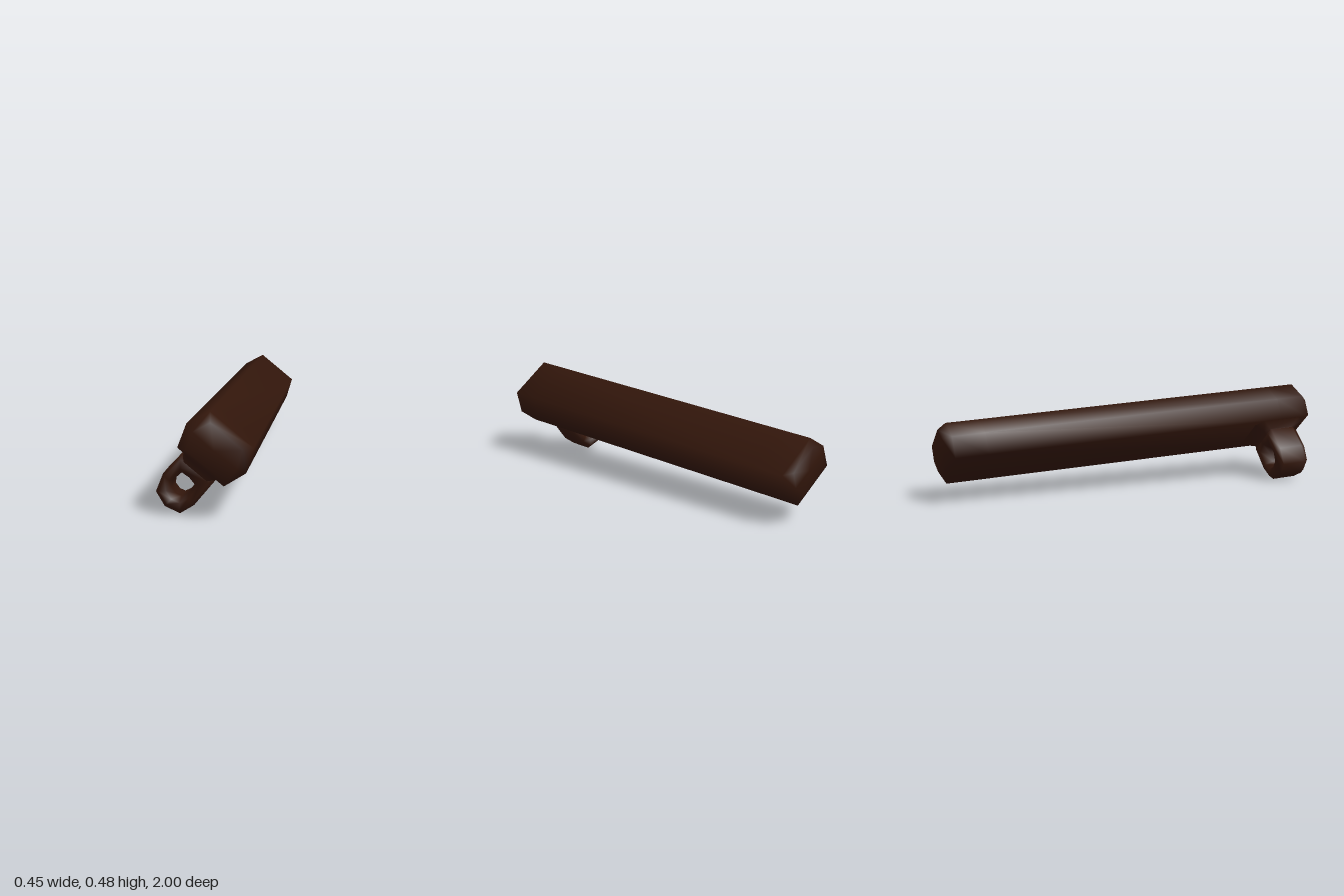
import * as THREE from 'three';

// Skin a list of rows of points; each row is a closed loop
function loft(rows, closeRows = false) {
  const n = rows[0].length;
  const index = [];
  const last = closeRows ? rows.length : rows.length - 1;
  for (let r = 0; r < last; r++) {
    const r2 = (r + 1) % rows.length;
    for (let c = 0; c < n; c++) {
      const c2 = (c + 1) % n;
      const a = r * n + c, b = r * n + c2, d = r2 * n + c2, e = r2 * n + c;
      index.push(a, b, d, a, d, e);
    }
  }
  const g = new THREE.BufferGeometry();
  g.setAttribute('position', new THREE.Float32BufferAttribute(rows.flat(2), 3));
  g.setIndex(index);
  g.computeVertexNormals();
  return g;
}

export function createModel() {
  const material = new THREE.MeshStandardMaterial({ color: 0x32160b });
  const model = new THREE.Group();
  model.name = 'barWithLoop';

  // Tilted frame: local x across the bar, y away from the loop, z along the bar
  const tilted = new THREE.Group();
  tilted.name = 'tiltedBar';
  const axis = new THREE.Vector3(-0.024, 0.09, 1.94).normalize();
  const up = axis.clone().cross(new THREE.Vector3(0.78, -0.63, 0)).normalize();
  const across = up.clone().cross(axis);
  tilted.quaternion.setFromRotationMatrix(new THREE.Matrix4().makeBasis(across, up, axis));
  tilted.position.set(0.057, 0.27, 0);
  model.add(tilted);

  const add = (name, geometry) => {
    const mesh = new THREE.Mesh(geometry, material);
    mesh.name = name;
    tilted.add(mesh);
    return mesh;
  };

  // Bar: six-sided section, slightly tapered to the rear, with chamfered ends
  const section = [
    [0.162, 0.005], [0.118, 0.111], [-0.118, 0.111],
    [-0.162, 0.005], [-0.127, -0.1], [0.127, -0.1],
  ];
  // scale, position along the bar, shift of the section towards the top
  const stations = [
    [0, -0.997, 0.02], [0.65, -0.997, 0.02], [0.94, -0.962, 0], [0.944, -0.8, 0],
    [0.996, 0.8, 0], [1, 0.955, 0], [0.74, 0.993, 0], [0, 0.993, 0],
  ];
  add('bar', loft(stations.map(([k, z, dy]) => section.map(([x, y]) => [x * k, y * k + dy, z]))));

  // Loop: bevelled band between an outer and an inner outline
  const outer = [
    [-0.104, -0.255], [-0.078, -0.337], [-0.008, -0.363], [0.0625, -0.344],
    [0.086, -0.275], [0.087, -0.13], [-0.008, -0.105], [-0.096, -0.135],
  ];
  const inner = [
    [-0.053, -0.255], [-0.036, -0.284], [-0.005, -0.292], [0.02, -0.284],
    [0.033, -0.256], [0.03, -0.208], [-0.006, -0.2], [-0.045, -0.204],
  ];
  const band = [
    [1, -0.065], [1, 0.065], [0.75, 0.088], [0.3, 0.088],
    [0, 0.045], [0, -0.045], [0.3, -0.088], [0.75, -0.088],
  ];
  const loopRows = band.map(([t, z]) => outer.map(([x, y], i) => [
    THREE.MathUtils.lerp(inner[i][0], x, t),
    THREE.MathUtils.lerp(inner[i][1], y, t),
    z,
  ]));
  add('loop', loft(loopRows, true)).position.z = 0.8;

  // Flared foot blending the loop into the underside of the bar
  const levels = [[-0.165, 0.088, 0.084], [-0.128, 0.088, 0.094], [-0.098, 0.125, 0.15]];
  const corners = [[1, 0.7], [1, -0.7], [0.75, -1], [-0.75, -1], [-1, -0.7], [-1, 0.7], [-0.75, 1], [0.75, 1]];
  const footRows = levels.map(([y, w, d]) => corners.map(([x, z]) => [x * w - 0.003, y, z * d]));
  add('loopFoot', loft(footRows)).position.z = 0.8;

  return model;
}
